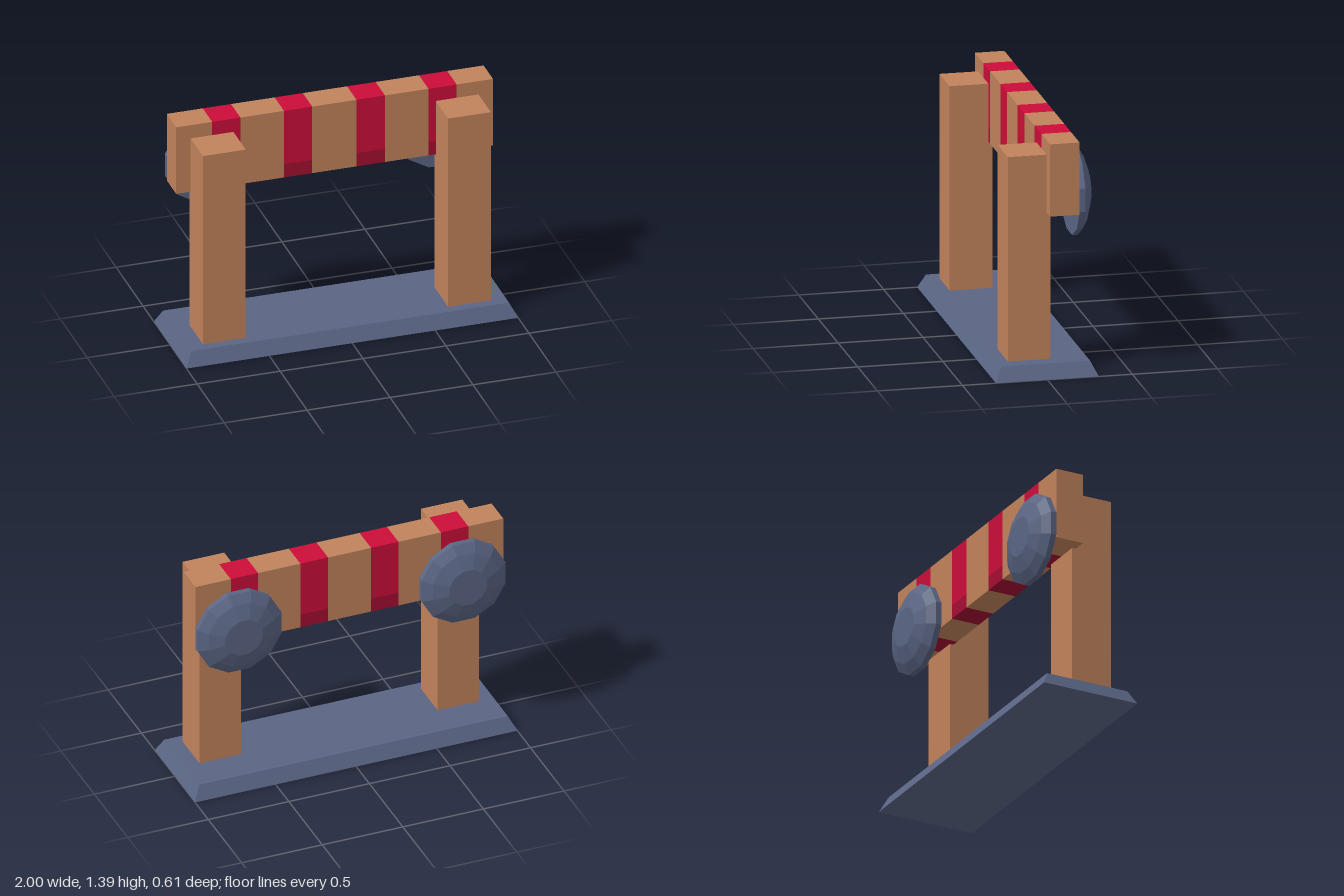
import * as THREE from 'three';

function material(name, color) {
  const m = new THREE.MeshStandardMaterial({ color });
  m.name = name;
  return m;
}

export function createModel() {
  const model = new THREE.Group();
  model.name = 'barrier';
  const wood = material('wood', 0xc1825b);
  const slate = material('slate', 0x5a6584);
  const red = material('red', 0xcb0d39);
  const darkRed = material('dark red', 0xa30d31);

  function add(name, geometry, mat, parent = model) {
    const mesh = new THREE.Mesh(geometry, mat);
    mesh.name = name;
    parent.add(mesh);
    return mesh;
  }
  // Box given by its limits on each axis
  function box(name, [x0, x1], [y0, y1], [z0, z1], mat, parent) {
    const mesh = add(name, new THREE.BoxGeometry(x1 - x0, y1 - y0, z1 - z0), mat, parent);
    mesh.position.set((x0 + x1) / 2, (y0 + y1) / 2, (z0 + z1) / 2);
    return mesh;
  }

  // Base plate with sloping sides
  const baseGeo = new THREE.BoxGeometry(2, 0.085, 0.606);
  const p = baseGeo.attributes.position;
  for (let i = 0; i < p.count; i++) {
    if (p.getY(i) > 0) {
      p.setX(i, Math.sign(p.getX(i)) * 0.958);
      p.setZ(i, Math.sign(p.getZ(i)) * 0.261);
    }
  }
  baseGeo.computeVertexNormals();
  add('base', baseGeo, slate).position.y = 0.0425;

  // Crossbeam: alternating wood and red sections, each red one darker at the bottom
  const beam = new THREE.Group();
  beam.name = 'crossbeam';
  model.add(beam);
  const edges = [-0.955, -0.738, -0.568, -0.305, -0.135, 0.132, 0.304, 0.566, 0.736, 0.955];
  const beamZ = [-0.2, -0.026];
  for (let i = 0; i < edges.length - 1; i++) {
    const span = [edges[i], edges[i + 1]];
    if (i % 2 === 0) {
      box('beamSection', span, [0.96, 1.392], beamZ, wood, beam);
    } else {
      box('stripe', span, [1.046, 1.392], beamZ, red, beam);
      box('stripeLowerBand', span, [0.96, 1.046], beamZ, darkRed, beam);
    }
  }

  // Faceted domed disc with a flat cap
  const profile = [[0, 0], [0.27, 0], [0.27, 0.034], [0.213, 0.07], [0.119, 0.103], [0, 0.103]];
  const discGeo = new THREE.LatheGeometry(
    profile.map(([r, y]) => new THREE.Vector2(r, y)), 12, Math.PI / 12).toNonIndexed();
  discGeo.computeVertexNormals();
  discGeo.rotateX(-Math.PI / 2);

  // Posts in front of the beam and discs behind it
  for (const [side, s] of [['left', 1], ['right', -1]]) {
    box(side + 'Post', s > 0 ? [0.61, 0.868] : [-0.868, -0.61], [0.085, 1.306], [-0.05, 0.202], wood);
    add(side + 'Disc', discGeo, slate).position.set(s * 0.695, 1.045, -0.2);
  }
  return model;
}
